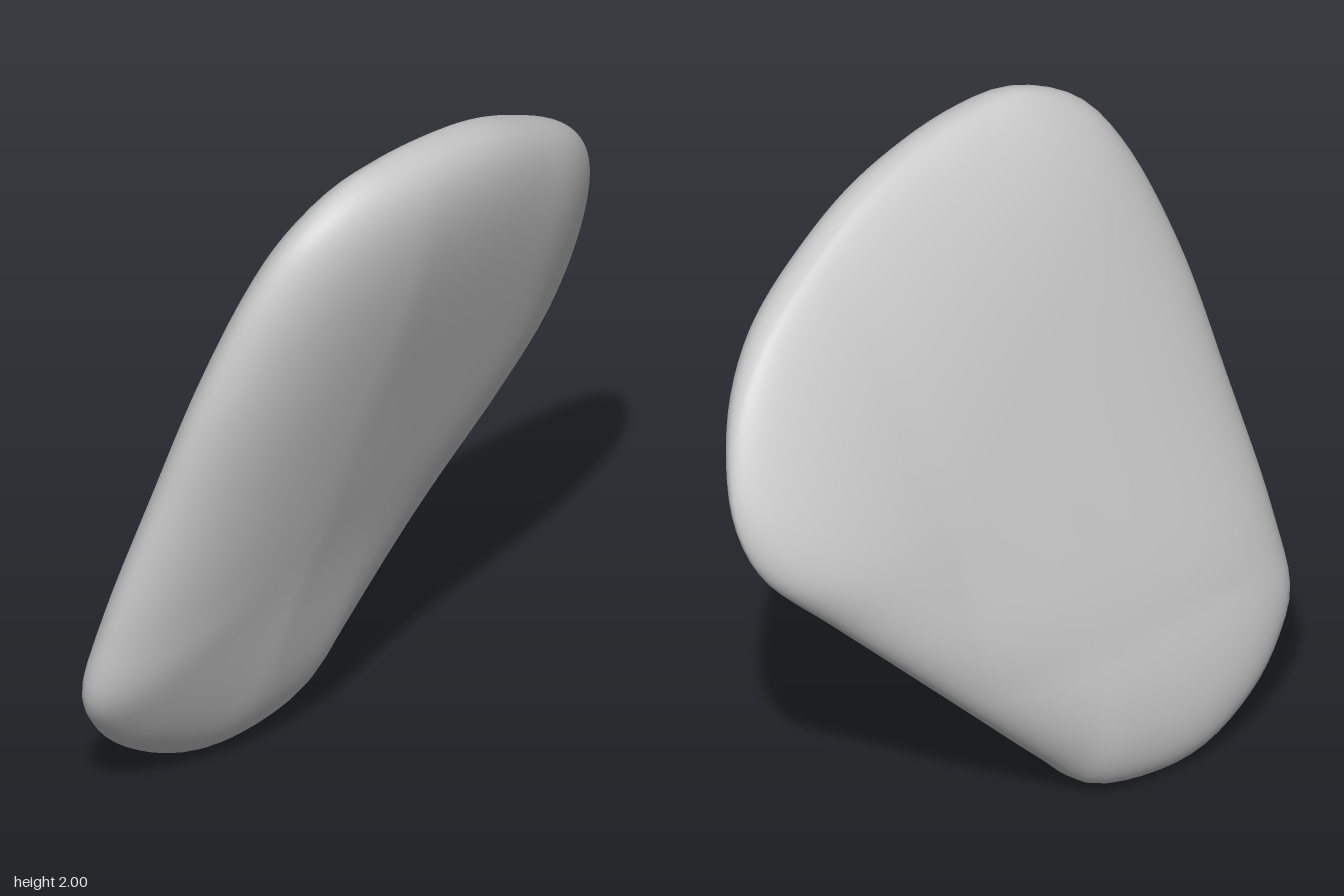
import * as THREE from 'three';

// Outline of the slab seen from the side, as [z, y]
const OUTLINE = [
  [0.28, 0], [0.42, 0.02], [0.6, 0.12], [0.72, 0.23], [0.81, 0.36], [0.83, 0.6],
  [0.82, 1.0], [0.8, 1.42], [0.73, 1.75], [0.645, 1.9], [0.49, 1.99], [0.33, 2.0],
  [0.17, 1.985], [-0.07, 1.93], [-0.32, 1.82], [-0.57, 1.67], [-0.73, 1.5],
  [-0.82, 1.3], [-0.83, 1.17], [-0.79, 1.04], [-0.62, 0.835], [-0.4, 0.58],
  [-0.2, 0.355], [0, 0.135], [0.1, 0.035],
];
const CENTRE = { z: 0.1, y: 1.05 };

// Leaning middle surface of the slab, curling at the foot
const middleX = (y, z) =>
  0.34 * (y - 1) - 0.3 * z + 0.25 * (1 - z) * Math.max(0, 0.75 - y) ** 2;

// Left face thins towards the back tip and the front edge
const leftThickness = (y, z) =>
  0.235 - 0.45 * Math.max(0, -z - 0.3) ** 2 - 0.12 * Math.max(0, z - 0.35);

// Right face is flat below, fuller at the foot and lower back edge,
// and bevelled towards the upper back edge
const rightThickness = (y, z) =>
  0.155 + 0.1 * Math.max(0, 0.5 - y) + 0.1 * Math.max(0, -z - 0.3)
  - 0.6 * Math.max(0, 0.36 * (y - 1) - 0.33 * z - 0.08) ** 2;

function stoneGeometry(rings = 64, segments = 120) {
  const curve = new THREE.CatmullRomCurve3(
    OUTLINE.map(([z, y]) => new THREE.Vector3(0, y, z)), true, 'centripetal');
  const rim = curve.getSpacedPoints(segments).slice(0, segments);
  const positions = [];
  const indices = [];

  // Rings grow from the middle of the left face, round the rim, to the right face
  for (let i = 0; i <= rings; i++) {
    const phi = (Math.PI * i) / rings;
    const isLeft = i <= rings / 2;
    const thickness = isLeft ? leftThickness : rightThickness;
    const fullness = isLeft ? 5 : 4.5;
    const r = Math.max(0, Math.sin(phi)) ** (2 / fullness);
    for (const p of rim) {
      const y = CENTRE.y + (p.y - CENTRE.y) * r;
      const z = CENTRE.z + (p.z - CENTRE.z) * r;
      positions.push(middleX(y, z) + thickness(y, z) * Math.cos(phi), y, z);
    }
  }
  for (let i = 0; i < rings; i++) {
    for (let j = 0; j < segments; j++) {
      const k = (j + 1) % segments;
      const a = i * segments + j, b = i * segments + k;
      const c = a + segments, d = b + segments;
      if (i > 0) indices.push(a, b, c);
      if (i < rings - 1) indices.push(b, d, c);
    }
  }
  const geometry = new THREE.BufferGeometry();
  geometry.setAttribute('position', new THREE.Float32BufferAttribute(positions, 3));
  geometry.setIndex(indices);
  geometry.computeVertexNormals();
  return geometry;
}

export function createModel() {
  const group = new THREE.Group();
  group.name = 'pebble';
  const stone = new THREE.Mesh(
    stoneGeometry(), new THREE.MeshStandardMaterial({ color: 0xcccccc }));
  stone.name = 'stone';
  group.add(stone);
  return group;
}
